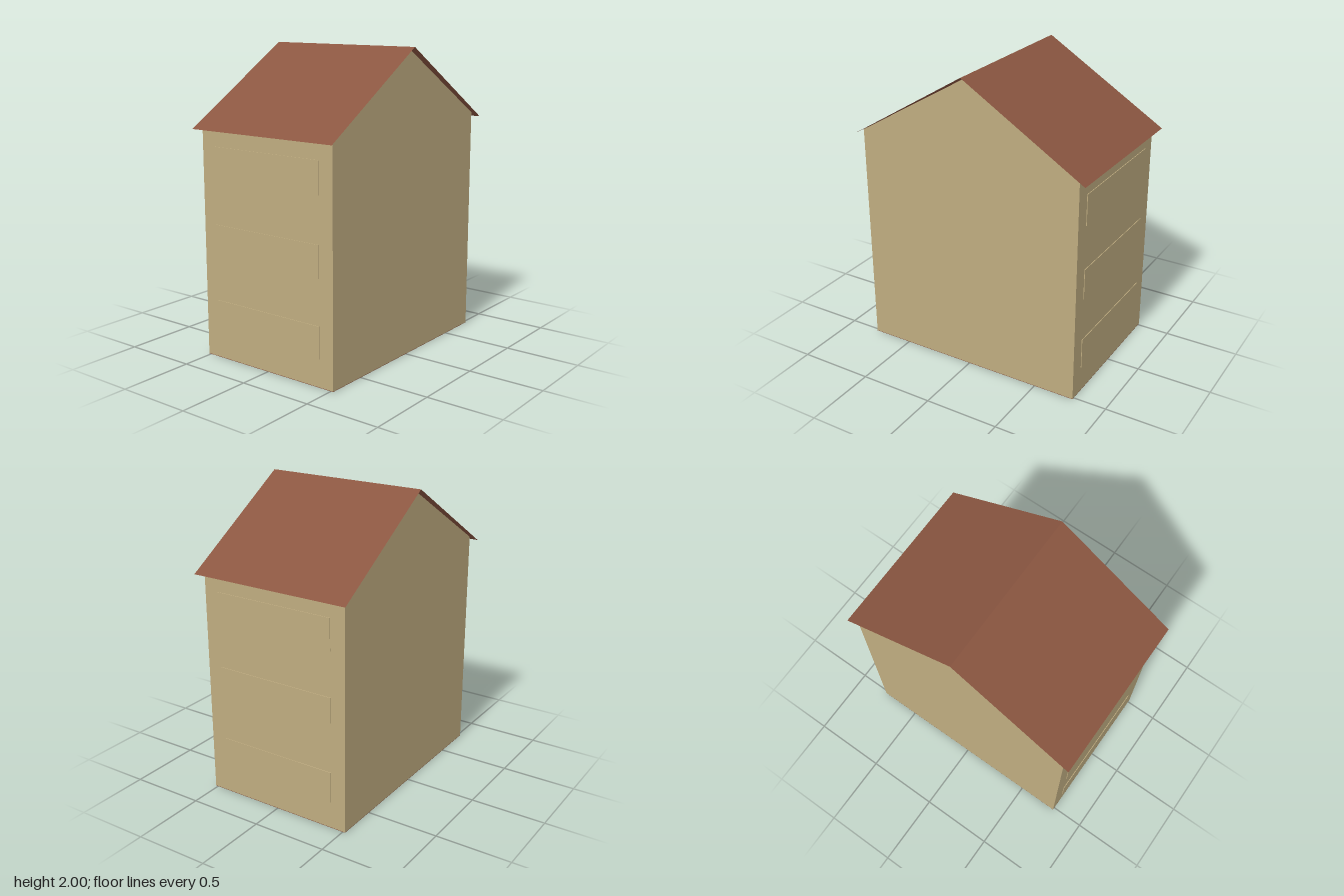
import * as THREE from 'three';

export function createModel() {
  const group = new THREE.Group();
  group.name = 'house';

  const wall = new THREE.MeshStandardMaterial({ color: 0xbfac80 });
  wall.name = 'tan wall';
  const roof = new THREE.MeshStandardMaterial({ color: 0x8b5641, side: THREE.DoubleSide });
  roof.name = 'red brown roof';

  const add = (name, geometry, material, x = 0, y = 0, z = 0) => {
    const mesh = new THREE.Mesh(geometry, material);
    mesh.name = name;
    mesh.position.set(x, y, z);
    group.add(mesh);
    return mesh;
  };

  const halfX = 0.517, halfZ = 0.777;   // walls
  const eaveX = 0.553, eaveZ = 0.83, eaveY = 1.492, ridgeY = 2;   // roof
  const floorThick = 0.003;

  // Gabled body: a pentagon across z, extruded along x
  const gable = new THREE.Shape([
    [-halfZ, floorThick], [halfZ, floorThick], [halfZ, 1.522], [0, 1.985], [-halfZ, 1.522],
  ].map(([z, y]) => new THREE.Vector2(z, y)));
  const body = new THREE.ExtrudeGeometry(gable, { depth: halfX * 2, bevelEnabled: false });
  body.translate(0, 0, -halfX).rotateY(Math.PI / 2);
  add('body', body, wall);

  // Brown floor seen from below
  add('floor', new THREE.BoxGeometry(halfX * 2, floorThick, halfZ * 2), roof, 0, floorThick / 2, 0);

  const slopeLength = Math.hypot(eaveZ, ridgeY - eaveY);
  const pitch = Math.atan2(ridgeY - eaveY, eaveZ);
  for (const side of [1, -1]) {
    const end = side > 0 ? 'front' : 'back';

    // Sheet roof slope
    const slope = new THREE.PlaneGeometry(eaveX * 2, slopeLength);
    slope.rotateX(-Math.PI / 2 + side * pitch);
    add(end + 'RoofSlope', slope, roof, 0, (ridgeY + eaveY) / 2, side * eaveZ / 2);

    // Three slim raised panels, one per storey
    for (let i = 0; i < 3; i++) {
      add(end + 'Panel' + (i + 1), new THREE.BoxGeometry(0.83, 0.205, 0.005), wall,
        0, 0.285 + i * 0.5, side * (halfZ + 0.002));
    }
  }
  return group;
}
